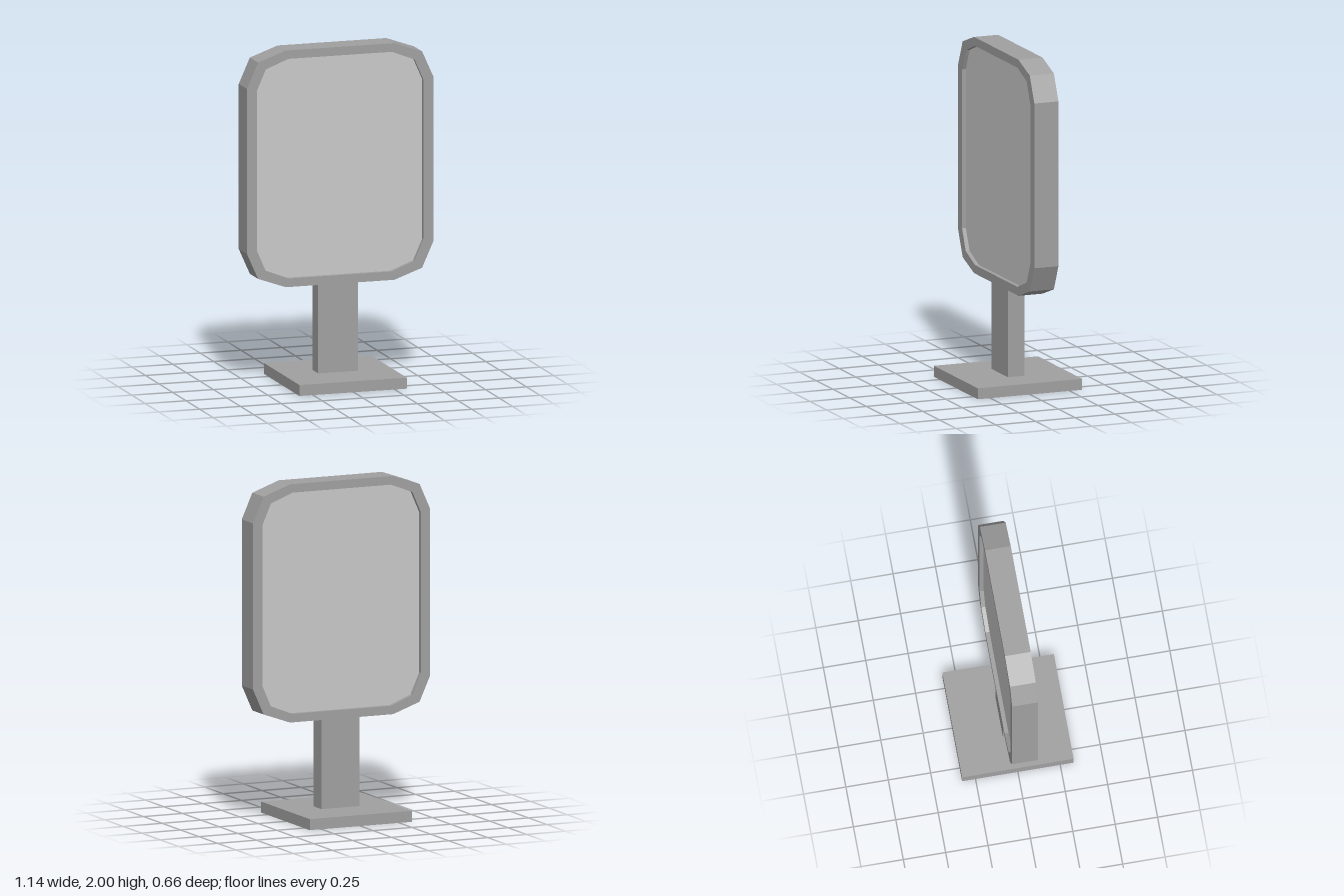
import * as THREE from 'three';

// Eight-sided-plus outline, mirrored from three points of one corner about the centre height
const CENTRE_Y = 1.2975;
function outline(corner, Path) {
  const mirrored = [...corner].reverse();
  const points = [
    ...corner.map(([x, y]) => [x, y]),
    ...mirrored.map(([x, y]) => [-x, y]),
    ...corner.map(([x, y]) => [-x, -y]),
    ...mirrored.map(([x, y]) => [x, -y]),
  ].map(([x, y]) => new THREE.Vector2(x, y + CENTRE_Y));
  return new Path(points);
}

function slab(shape, depth) {
  const geometry = new THREE.ExtrudeGeometry(shape, { depth, bevelEnabled: false });
  return geometry.translate(0, 0, -depth / 2);
}

export function createModel() {
  const model = new THREE.Group();
  const frameGrey = new THREE.MeshStandardMaterial({ color: 0xa0a0a0 });
  frameGrey.name = 'frame grey';
  const panelGrey = new THREE.MeshStandardMaterial({ color: 0xc8c8c8 });
  panelGrey.name = 'panel light grey';

  const add = (name, geometry, material, x = 0, y = 0) => {
    const mesh = new THREE.Mesh(geometry, material);
    mesh.name = name;
    mesh.position.set(x, y, 0);
    model.add(mesh);
  };

  // Corner points, from the side round to the top
  const outer = [[0.57, 0.49], [0.502, 0.642], [0.332, 0.7025]];
  const inner = [[0.51, 0.473], [0.455, 0.598], [0.317, 0.652]];

  // Rim around the panel
  const rim = outline(outer, THREE.Shape);
  rim.holes.push(outline(inner, THREE.Path));
  add('frame', slab(rim, 0.152), frameGrey);

  // Panel, recessed on both faces
  add('panel', slab(outline(inner, THREE.Shape), 0.104), panelGrey);

  // Stand
  add('post', new THREE.BoxGeometry(0.245, 0.54, 0.104), frameGrey, -0.004, 0.33);
  add('base', new THREE.BoxGeometry(0.658, 0.065, 0.658), frameGrey, -0.004, 0.0325);

  return model;
}
